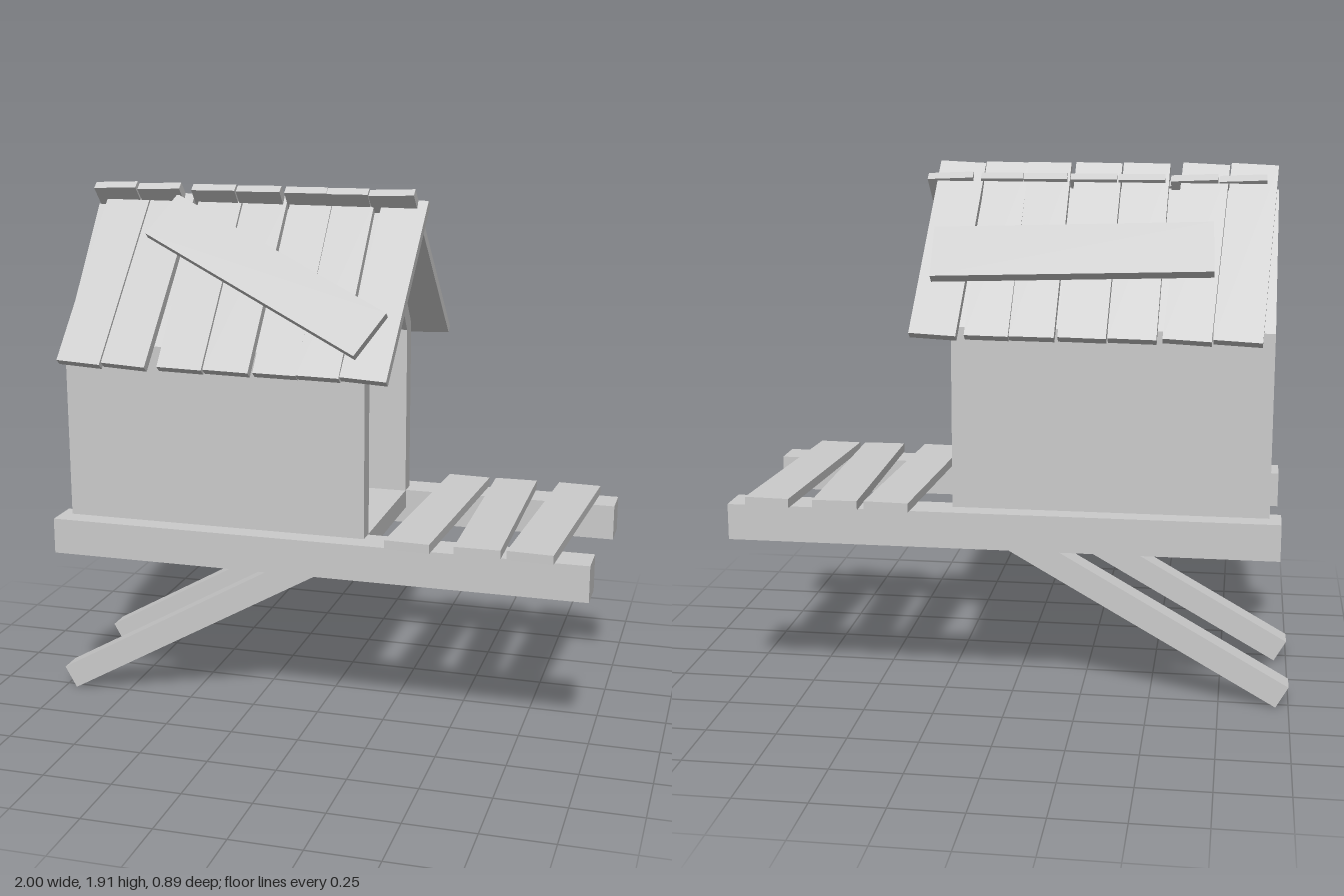
import * as THREE from 'three';

const material = new THREE.MeshStandardMaterial({ color: 0xcccccc, flatShading: true });

export function createModel() {
  const model = new THREE.Group();
  model.name = 'raisedHut';

  // One box with a size, position and optional rotation
  function box(name, size, position, rotation = [0, 0, 0]) {
    const mesh = new THREE.Mesh(new THREE.BoxGeometry(...size), material);
    mesh.name = name;
    mesh.position.set(...position);
    mesh.rotation.set(...rotation);
    model.add(mesh);
    return mesh;
  }

  // Gabled outline of the hut, extruded along x
  const gable = (Type, half, bottom, eave, apex) => new Type([
    [-half, bottom], [half, bottom], [half, eave], [0, apex], [-half, eave],
  ].map(([x, y]) => new THREE.Vector2(x, y)));

  function extrudeAlongX(name, shape, x, depth) {
    const geometry = new THREE.ExtrudeGeometry(shape, { depth, bevelEnabled: false });
    const mesh = new THREE.Mesh(geometry, material);
    mesh.name = name;
    mesh.rotation.y = Math.PI / 2;
    mesh.position.x = x;
    model.add(mesh);
  }

  // Hut: hollow shell open at +x, closed by a wall at -x
  const shell = gable(THREE.Shape, 0.345, 0.65, 1.365, 1.82);
  shell.holes.push(gable(THREE.Path, 0.28, 0.72, 1.35, 1.72));
  extrudeAlongX('hutShell', shell, -0.845, 1.045);
  extrudeAlongX('backWall', gable(THREE.Shape, 0.345, 0.65, 1.365, 1.82), -0.91, 0.065);

  // Base beams and slanted struts on both sides
  for (const side of [1, -1]) {
    box('baseBeam', [1.95, 0.13, 0.13], [0.025, 0.655, side * 0.355]);
    box('strut', [1.293, 0.09, 0.088], [-0.414, 0.358, side * 0.235], [0, 0, 0.515]);
  }

  // Loose deck planks: centre x and x shift between the ends
  for (const [x, lean] of [[0.398, -0.045], [0.612, 0.016], [0.825, -0.05]]) {
    box('deckPlank', [0.16, 0.033, 0.88], [x, 0.737, 0], [0, Math.asin(lean / 0.88), 0]);
  }

  // Roof planks: x centre at one end, at the other end, and width
  const pitch = 0.908;
  const length = 0.71;
  const planks = [
    [-0.825, -0.785, 0.165], [-0.655, -0.615, 0.165], [-0.445, -0.43, 0.165],
    [-0.275, -0.26, 0.165], [-0.098, -0.088, 0.155], [0.055, 0.068, 0.152],
    [0.215, 0.255, 0.165],
  ];
  for (const [a, b, width] of planks) {
    const turn = Math.asin((a - b) / length);
    const x = (a + b) / 2;
    box('frontRoofPlank', [width, 0.032, length], [x, 1.58, 0.2], [pitch, turn, 0]);
    box('backRoofPlank', [width, 0.032, length], [x, 1.616, -0.178], [-pitch, turn, 0]);
  }

  // Patch boards laid across the roof
  box('frontPatchBoard', [0.96, 0.03, 0.19], [-0.205, 1.617, 0.21], [pitch, -0.48, 0]);
  box('backPatchBoard', [0.97, 0.035, 0.21], [-0.21, 1.62, -0.258], [-0.82, 0.04, 0]);

  return model;
}
